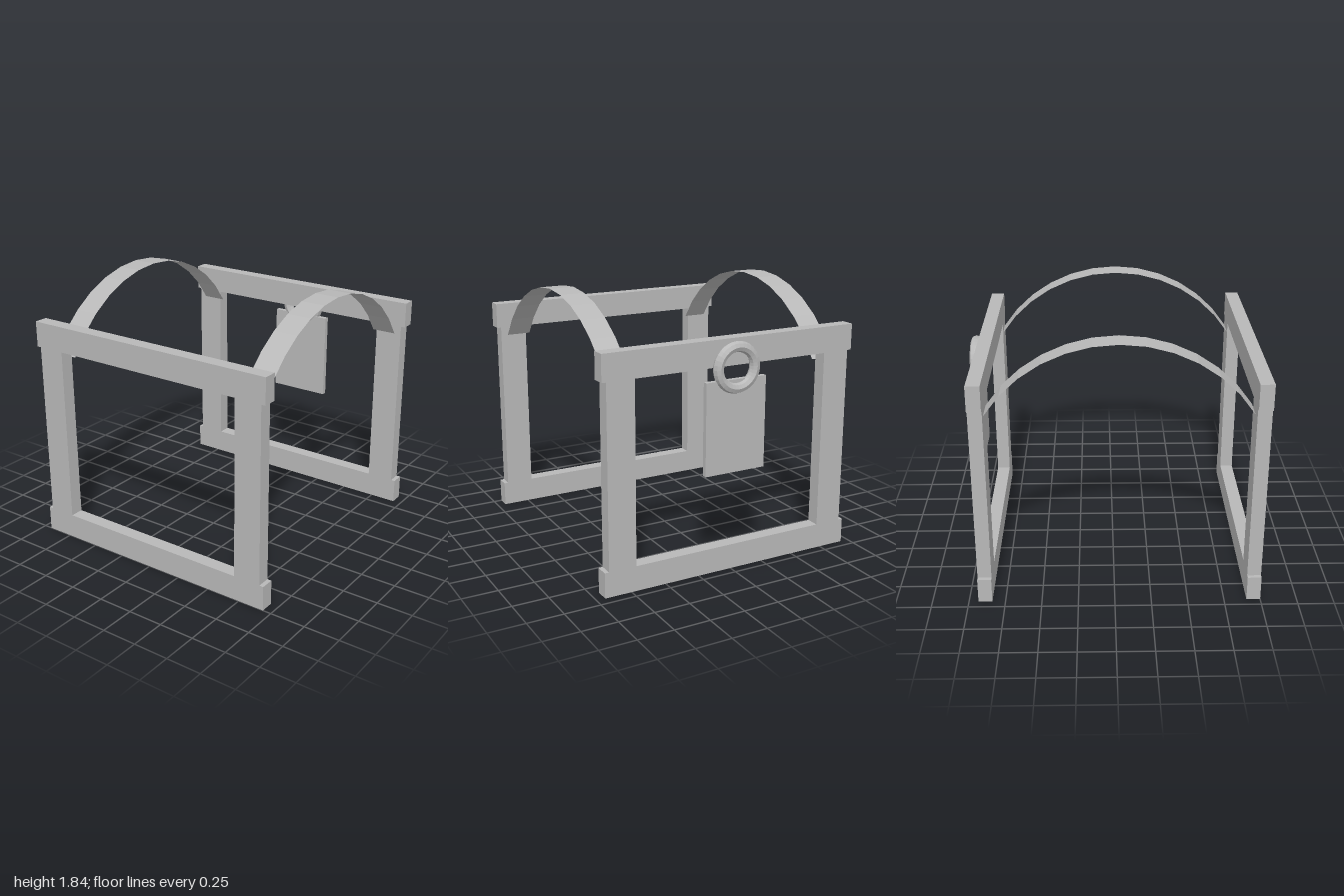
import * as THREE from 'three';

export function createModel() {
  const model = new THREE.Group();
  const grey = new THREE.MeshStandardMaterial({ color: 0xb8b8b8 });
  grey.name = 'grey';
  const greySheet = new THREE.MeshStandardMaterial({ color: 0xb8b8b8, side: THREE.DoubleSide, flatShading: true });
  greySheet.name = 'grey sheet';

  const add = (parent, name, geometry, material = grey) => {
    const mesh = new THREE.Mesh(geometry, material);
    mesh.name = name;
    parent.add(mesh);
    return mesh;
  };
  // Box given by its limits on each axis
  const box = (parent, name, x0, x1, y0, y1, z0, z1) =>
    add(parent, name, new THREE.BoxGeometry(x1 - x0, y1 - y0, z1 - z0))
      .position.set((x0 + x1) / 2, (y0 + y1) / 2, (z0 + z1) / 2);

  // Front and back frames: wide rails with slightly inset posts
  for (const [name, z0, z1] of [['frontFrame', 0.905, 1], ['backFrame', -0.935, -0.84]]) {
    const frame = new THREE.Group();
    frame.name = name;
    box(frame, 'bottomRail', -0.94, 0.94, 0, 0.175, z0, z1);
    box(frame, 'topRail', -0.94, 0.94, 1.42, 1.6, z0, z1);
    box(frame, 'leftPost', 0.715, 0.91, 0.175, 1.42, z0, z1);
    box(frame, 'rightPost', -0.91, -0.715, 0.175, 1.42, z0, z1);
    model.add(frame);
  }

  // Thin arched straps joining the frames: open cylinder arcs
  const halfChord = 0.87, rise = 0.48;
  const radius = (halfChord ** 2 + rise ** 2) / (2 * rise);
  const halfAngle = Math.asin(halfChord / radius);
  for (const side of [1, -1]) {
    const arc = new THREE.CylinderGeometry(radius, radius, 0.173, 12, 1, true, -halfAngle, 2 * halfAngle);
    arc.rotateZ(Math.PI / 2); // axis along x
    arc.rotateX(-Math.PI / 2); // crown upward
    arc.computeBoundingBox();
    const { min, max } = arc.boundingBox;
    arc.translate(0, 1.84 - max.y, 0.03 - (min.z + max.z) / 2);
    add(model, side > 0 ? 'leftStrap' : 'rightStrap', arc, greySheet).position.x = side * 0.774;
  }

  // Hanging plate and ring on the back frame
  box(model, 'hangingPlate', -0.225, 0.225, 0.705, 1.335, -0.967, -0.932);
  add(model, 'ring', new THREE.TorusGeometry(0.137, 0.036, 8, 32), greySheet).position.set(0, 1.412, -0.964);

  return model;
}
